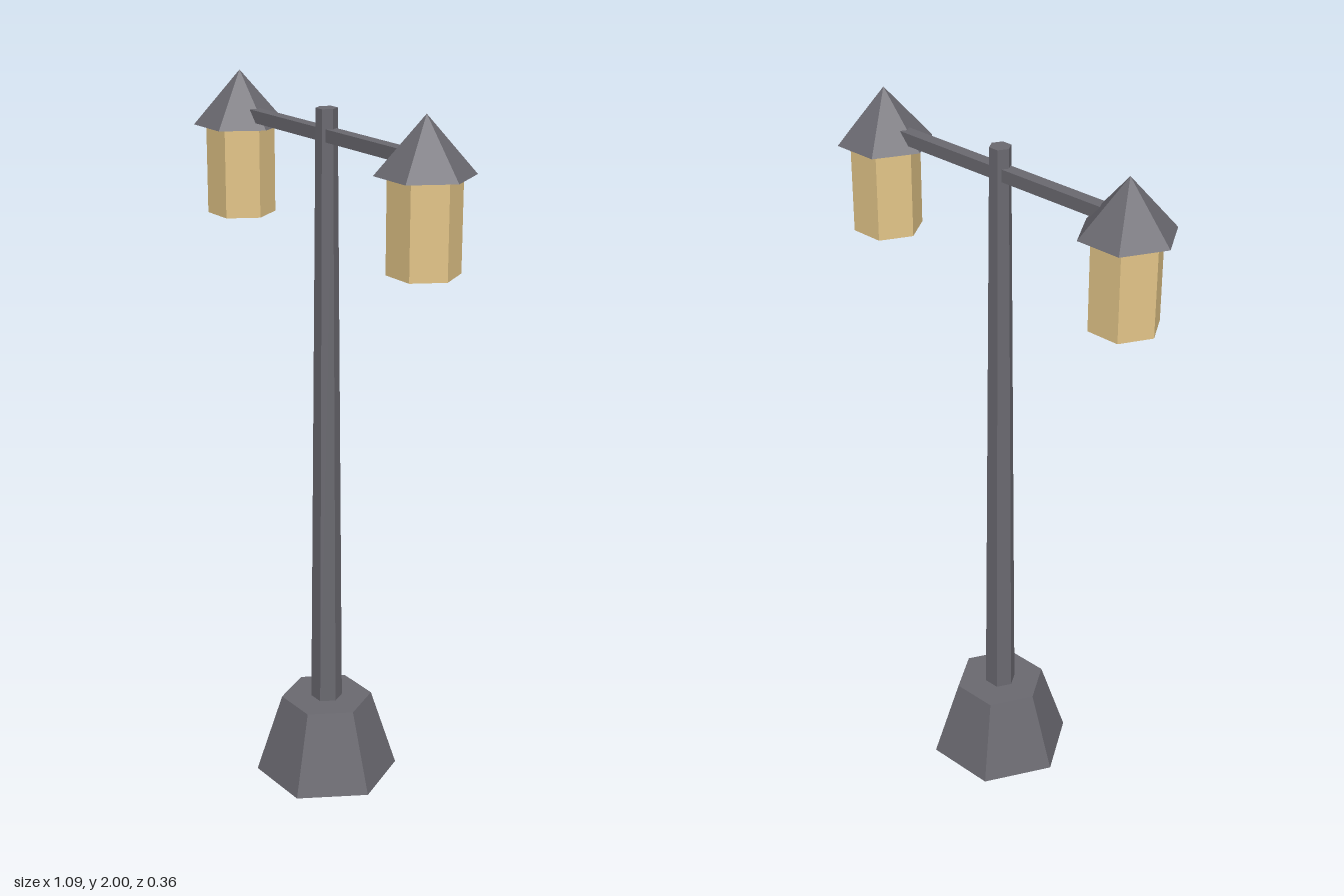
import * as THREE from 'three';

export function createModel() {
  const model = new THREE.Group();
  model.name = 'streetLamp';

  const metal = new THREE.MeshStandardMaterial({ color: 0x6a6970, flatShading: true });
  metal.name = 'dark metal';
  const glass = new THREE.MeshStandardMaterial({ color: 0xe3c588, flatShading: true });
  glass.name = 'warm glass';

  // Six-sided tapered column from y0 to y1, with corners pointing along x
  function hexColumn(name, material, rBottom, rTop, y0, y1, x = 0) {
    const geometry = rTop > 0
      ? new THREE.CylinderGeometry(rTop, rBottom, y1 - y0, 6)
      : new THREE.ConeGeometry(rBottom, y1 - y0, 6);
    geometry.rotateY(Math.PI / 6);
    const mesh = new THREE.Mesh(geometry, material);
    mesh.name = name;
    mesh.position.set(x, (y0 + y1) / 2, 0);
    return mesh;
  }

  // Foot and tapering post
  model.add(hexColumn('base', metal, 0.206, 0.131, 0, 0.237));
  model.add(hexColumn('post', metal, 0.045, 0.029, 0.237, 1.955));

  // Crossbar running into both lantern roofs
  const arm = new THREE.Mesh(new THREE.BoxGeometry(0.76, 0.034, 0.034), metal);
  arm.name = 'crossbar';
  arm.position.y = 1.886;
  model.add(arm);

  // One lantern at each end
  for (const side of [-1, 1]) {
    const lantern = new THREE.Group();
    lantern.name = side > 0 ? 'leftLantern' : 'rightLantern';
    lantern.position.x = side * 0.414;
    lantern.add(hexColumn('lanternGlass', glass, 0.095, 0.095, 1.602, 1.852));
    lantern.add(hexColumn('lanternRoof', metal, 0.129, 0, 1.851, 2));
    model.add(lantern);
  }

  return model;
}
